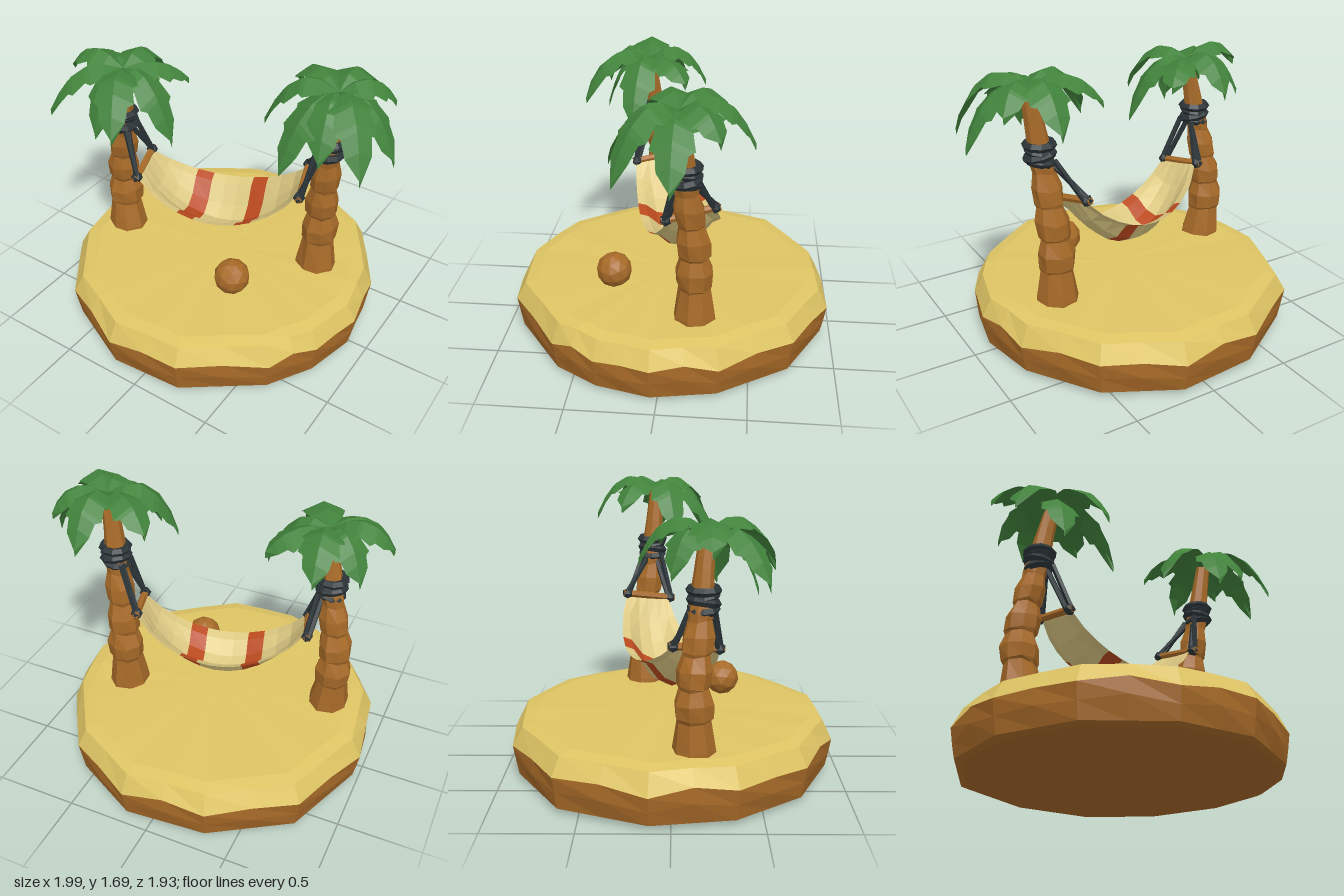
import * as THREE from 'three';

const mat = (name, color, side = THREE.FrontSide) => {
  const m = new THREE.MeshStandardMaterial({ color, flatShading: true, side });
  m.name = name;
  return m;
};
const V = (x, y, z) => new THREE.Vector3(x, y, z);

// Skins a list of equal-length cross-sections; closed joins last point to first
function loft(rings, closed = true) {
  const pos = [];
  const add = (...pts) => pts.forEach(p => pos.push(p.x, p.y, p.z));
  for (let k = 0; k < rings.length - 1; k++) {
    const lo = rings[k], hi = rings[k + 1], n = lo.length;
    for (let i = 0; i < (closed ? n : n - 1); i++) {
      const j = (i + 1) % n;
      add(lo[i], hi[i], hi[j], lo[i], hi[j], lo[j]);
    }
  }
  const g = new THREE.BufferGeometry();
  g.setAttribute('position', new THREE.Float32BufferAttribute(pos, 3));
  g.computeVertexNormals();
  return g;
}

function rod(a, b, r, sides, material, name) {
  const mesh = new THREE.Mesh(new THREE.CylinderGeometry(r, r, a.distanceTo(b), sides), material);
  mesh.position.copy(a).lerp(b, 0.5);
  mesh.quaternion.setFromUnitVectors(V(0, 1, 0), b.clone().sub(a).normalize());
  mesh.name = name;
  return mesh;
}

export function createModel() {
  const sand = mat('sand', 0xdec464);
  const brown = mat('brown wood', 0xa76a28);
  const green = mat('leaf green', 0x42833c, THREE.DoubleSide);
  const ropeMat = mat('dark rope', 0x2b3438);
  const cloth = mat('cream cloth', 0xdcc882, THREE.DoubleSide);
  const red = mat('red cloth', 0xba4a1e, THREE.DoubleSide);

  const root = new THREE.Group();
  root.name = 'hammockIsland';
  const mesh = (geo, m, name, parent = root) => {
    const o = new THREE.Mesh(geo, m);
    o.name = name;
    parent.add(o);
    return o;
  };

  // Island: faceted outline with midpoints, stacked as scaled rings
  const corners = [[-0.34, -0.93], [0.16, -0.97], [0.58, -0.75], [0.85, -0.34], [0.92, 0.04], [0.84, 0.36],
    [0.68, 0.62], [0.25, 0.93], [-0.2, 0.96], [-0.65, 0.75], [-0.93, 0.36], [-1, -0.12], [-0.8, -0.64]];
  const outline = corners.flatMap((c, i) => {
    const d = corners[(i + 1) % corners.length];
    return [c, [(c[0] + d[0]) / 2, (c[1] + d[1]) / 2]];
  });
  const ring = (s, y, wave = 0, dent = 0) => outline.map(([x, z], i) => {
    const k = s + (i % 2 ? dent : 0);
    return V(x * k, y + wave * ((i % 2 ? 1 : -1) + Math.sin(i * 1.9)), z * k);
  });
  const seam = ring(1, 0.222, 0.013);
  mesh(loft([ring(0.001, 0), ring(0.93, 0.012), ring(0.968, 0.028), ring(0.985, 0.13, 0.012, 0.018), seam]),
    brown, 'islandEarth');
  mesh(loft([seam, ring(0.94, 0.325, 0.003), ring(0.86, 0.342, 0.002), ring(0.001, 0.352)]), sand, 'islandSand');

  // Palm trunk: bulging segments tapering along a leaning curve
  const bulges = [[0, 0.98], [0.45, 1.03], [0.9, 0.77]];
  function trunk(path, parent) {
    const curve = new THREE.CatmullRomCurve3(path);
    const profile = [[0, 0.128], [0.05, 0.121], [0.185, 0.094]];
    for (let s = 0; s < 3; s++)
      for (const [f, w] of bulges) profile.push([0.2 + 0.15 * (s + f), (0.107 - 0.011 * s) * w]);
    profile.push([0.67, 0.07], [0.85, 0.055], [1, 0.045]);
    const rings = profile.map(([t, r], k) => {
      const c = curve.getPoint(t);
      return Array.from({ length: 8 }, (_, i) => {
        const a = (i + 0.3) / 8 * Math.PI * 2;
        const q = r * (1 + 0.05 * Math.sin(i * 2.3 + k));
        return V(c.x + Math.cos(a) * q, c.y + 0.006 * Math.sin(i * 1.7 + k * 2), c.z + Math.sin(a) * q);
      });
    });
    rings.push(rings[0].map(() => curve.getPoint(1).setY(curve.getPoint(1).y + 0.02)));
    mesh(loft(rings), brown, 'trunk', parent);
  }

  // Palm leaf: arched spine, drooping saw-toothed edges and a pointed tip
  const stations = [[0, 0.25], [0.22, 0.8], [0.4, 1.05], [0.46, 0.82], [0.64, 1], [0.7, 0.72], [0.84, 0.62], [1, 0.02]];
  function leaf(c, tip, lift, width, parent) {
    const mid = c.clone().lerp(tip, 0.6).setY(c.y + lift);
    const curve = new THREE.QuadraticBezierCurve3(c, mid, tip);
    const side = V(c.z - tip.z, 0, tip.x - c.x).normalize();
    const rows = stations.map(([t, w]) => {
      const p = curve.getPoint(t);
      return [-1, 0, 1].map(s => p.clone().addScaledVector(side, s * w * width)
        .add(V(0, -Math.abs(s) * w * 0.055, 0)));
    });
    const under = rows.map(r => r.map((p, i) => i === 1 ? p.clone().add(V(0, -0.04, 0)) : p));
    mesh(loft(rows, false), green, 'leaf', parent);
    mesh(loft(under, false), green, 'leafUnderside', parent);
  }

  // Rope wound round a trunk
  function wrap(p, r, parent) {
    for (let i = 0; i < 4; i++) {
      const t = mesh(new THREE.TorusGeometry(r + (i % 2) * 0.008, 0.025, 5, 10), ropeMat, 'ropeCoil', parent);
      t.position.set(p.x, p.y + (i - 1.5) * 0.032, p.z);
      t.rotation.set(Math.PI / 2 + 0.16 * Math.sin(i * 2.1), 0.2 * Math.cos(i * 2.6), 0);
    }
  }

  function palm(name, path, wrapAt, crown, lift, tips) {
    const g = new THREE.Group();
    g.name = name;
    root.add(g);
    trunk(path, g);
    tips.forEach((t, i) => leaf(crown, t, lift - (i % 3) * 0.045, 0.115, g));
    wrap(wrapAt, 0.066, g);
  }
  const rightWrap = V(-0.65, 1.17, 0.17), leftWrap = V(0.59, 1.24, -0.13);
  palm('rightPalm',
    [V(-0.7, 0.3, 0.13), V(-0.72, 0.7, 0.12), V(-0.665, 1.1, 0.155), V(-0.6, 1.5, 0.19)],
    rightWrap, V(-0.6, 1.53, 0.19), 0.18,
    [V(-0.97, 1.47, 0.2), V(-0.92, 1.3, 0.49), V(-0.62, 1.22, 0.46), V(-0.4, 1.31, 0.57),
      V(-0.22, 1.2, 0.26), V(-0.32, 1.44, -0.06), V(-0.63, 1.38, -0.17), V(-0.85, 1.34, 0)]);
  palm('leftPalm',
    [V(0.53, 0.3, -0.18), V(0.54, 0.73, -0.18), V(0.58, 1.17, -0.135), V(0.63, 1.6, -0.1)],
    leftWrap, V(0.63, 1.62, -0.1), 0.2,
    [V(0.63, 1.45, -0.49), V(0.87, 1.54, -0.32), V(0.99, 1.32, -0.08), V(0.93, 1.34, 0.21),
      V(0.7, 1.38, 0.24), V(0.5, 1.29, 0.29), V(0.25, 1.4, 0.02), V(0.29, 1.53, -0.31)]);

  // Hammock sheet: sagging along u, cupped across v with a higher back edge and flattened lips
  const hammock = new THREE.Group();
  hammock.name = 'hammock';
  root.add(hammock);
  const cup = [[-1, 0.19], [-0.75, 0.165], [-0.4, 0.05], [0, 0], [0.4, 0.025], [0.75, 0.1], [1, 0.12]];
  const sheet = u => {
    const sag = Math.pow(4 * u * (1 - u), 0.85);
    const c = V(-0.52 + 0.95 * u, 0.865 + 0.075 * u - 0.39 * sag, 0.14 - 0.3 * u - 0.035 * sag);
    const half = 0.13 + 0.08 * sag;
    return cup.map(([v, h]) => V(c.x + 0.27 * half * v, c.y + h * sag - 0.018 * v * (1 - sag), c.z + half * v));
  };
  const bands = [[0, 0.25, cloth], [0.25, 0.35, red], [0.35, 0.61, cloth], [0.61, 0.71, red], [0.71, 1, cloth]];
  for (const [from, to, m] of bands) {
    const steps = m === red ? 1 : 3;
    const rows = Array.from({ length: steps + 1 }, (_, i) => sheet(from + (to - from) * i / steps));
    mesh(loft(rows, false), m, m === red ? 'redStripe' : 'clothPanel', hammock);
  }

  // Spreader bars, knots and paired hanging ropes
  const bars = [[V(-0.58, 0.892, -0.015), V(-0.487, 0.848, 0.29), rightWrap],
    [V(0.377, 0.968, -0.31), V(0.483, 0.912, 0.012), leftWrap]];
  for (const [a, b, anchor] of bars) {
    hammock.add(rod(a, b, 0.022, 6, brown, 'spreaderBar'));
    for (const [end, other] of [[a, b], [b, a]]) {
      const knotAt = end.clone().lerp(other, 0.08);
      mesh(new THREE.IcosahedronGeometry(0.036, 0), ropeMat, 'knot', hammock).position.copy(knotAt);
      const inward = Math.sign(knotAt.x - anchor.x);
      const out = Math.sign(end.z - other.z);
      for (const s of [-1, 1]) {
        const top = anchor.clone().add(V(inward * (0.05 + 0.012 * s), -0.04, out * (0.035 + 0.022 * s)));
        hammock.add(rod(top, knotAt.clone().add(V(0.012 * s, 0, 0.008 * s)), 0.017, 5, ropeMat, 'hangingRope'));
      }
    }
  }

  // Coconut on the sand
  const nut = mesh(new THREE.IcosahedronGeometry(0.108, 1), brown, 'coconut');
  nut.position.set(0.232, 0.447, 0.32);
  nut.rotation.set(0.3, 0.5, 0.2);

  return root;
}
